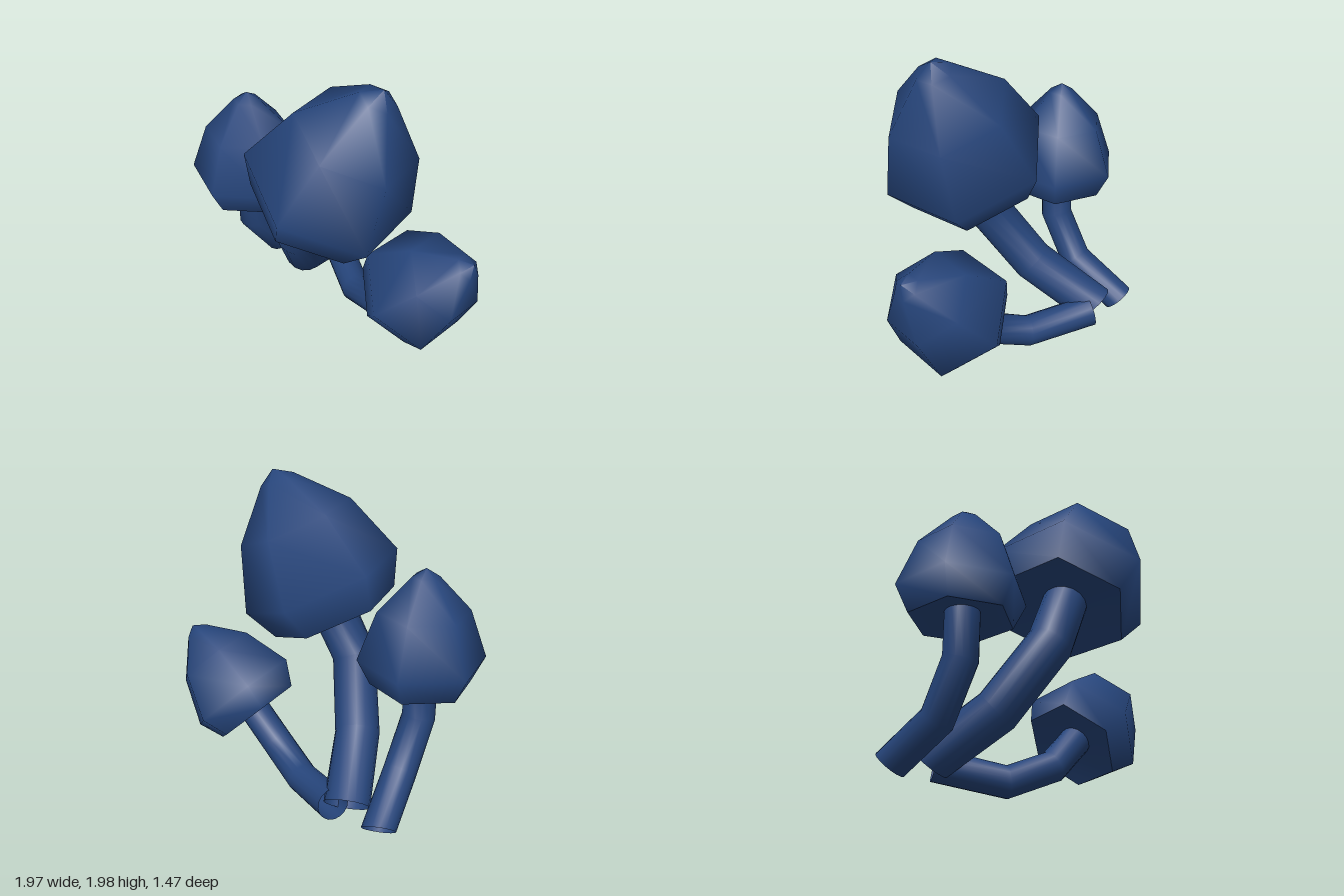
import * as THREE from 'three';

const blue = new THREE.MeshStandardMaterial({ color: 0x26457b, side: THREE.DoubleSide });
blue.name = 'deep blue';

const V = (p) => new THREE.Vector3(...p);

// Six-sided cap: smooth dome with a tucked rim, plus a shallow recessed underside
function makeCap(name, center, axis, corner, scale) {
  const lathe = (pts) => new THREE.LatheGeometry(pts.map(([r, h]) => new THREE.Vector2(r, h)), 6);
  const dome = lathe([[0.305, -0.16], [0.385, 0], [0.275, 0.3], [0.08, 0.51], [0, 0.56]]);
  const under = lathe([[0, -0.11], [0.12, -0.11], [0.305, -0.16]]);
  const y = V(axis).normalize();
  const x = new THREE.Vector3().crossVectors(y, V(corner)).normalize();
  const z = new THREE.Vector3().crossVectors(x, y);
  const cap = new THREE.Group();
  cap.name = name;
  [[dome, 'dome'], [under, 'underside']].forEach(([geo, label]) => {
    const mesh = new THREE.Mesh(geo, blue);
    mesh.name = `${name} ${label}`;
    cap.add(mesh);
  });
  cap.quaternion.setFromRotationMatrix(new THREE.Matrix4().makeBasis(x, y, z));
  cap.position.set(...center);
  cap.scale.setScalar(scale);
  return cap;
}

// Open-ended bent stalk: one ring per path point, the last ring cut along endDir
function makeStalk(name, radius, path, endDir) {
  const sides = 16;
  const pts = path.map(V);
  const pos = [], index = [];
  pts.forEach((p, i) => {
    const t = new THREE.Vector3();
    if (i > 0) t.add(p.clone().sub(pts[i - 1]).normalize());
    if (i < pts.length - 1) t.add(pts[i + 1].clone().sub(p).normalize());
    if (i === pts.length - 1 && endDir) t.copy(V(endDir));
    t.normalize();
    // Rings share a steady sideways reference so they do not twist
    const u = new THREE.Vector3(1, 0, -0.8).addScaledVector(t, -t.dot(new THREE.Vector3(1, 0, -0.8))).normalize();
    const w = new THREE.Vector3().crossVectors(t, u);
    for (let j = 0; j < sides; j++) {
      const a = (j / sides) * Math.PI * 2;
      const q = p.clone().addScaledVector(u, radius * Math.cos(a)).addScaledVector(w, radius * Math.sin(a));
      pos.push(q.x, q.y, q.z);
      if (i === 0) continue;
      const k = (j + 1) % sides, A = (i - 1) * sides, B = i * sides;
      index.push(A + j, A + k, B + j, A + k, B + k, B + j);
    }
  });
  const geo = new THREE.BufferGeometry();
  geo.setAttribute('position', new THREE.Float32BufferAttribute(pos, 3));
  geo.setIndex(index);
  geo.computeVertexNormals();
  const mesh = new THREE.Mesh(geo, blue);
  mesh.name = name;
  return mesh;
}

export function createModel() {
  const model = new THREE.Group();
  model.name = 'mushroom cluster';

  // Tall middle mushroom
  model.add(
    makeCap('middle cap', [0.07, 1.295, 0.24], [0.41, 0.91, 0.047], [-0.46, 0.2, 0.16], 1.35),
    makeStalk('middle stalk', 0.14,
      [[0.01, 1.16, 0.23], [-0.155, 0.825, 0.2], [-0.235, 0.43, -0.1], [-0.25, 0.18, -0.53]], [0, -0.7, -0.72])
  );

  // Upright mushroom on the -x side
  model.add(
    makeCap('right cap', [-0.615, 1.0, -0.135], [0, 1, 0], [-0.375, 0, 0.105], 1),
    makeStalk('right stalk', 0.103,
      [[-0.615, 0.9, -0.13], [-0.615, 0.61, -0.13], [-0.535, 0.315, -0.31], [-0.46, 0.12, -0.65]], [0, -0.7, -0.7])
  );

  // Low leaning mushroom on the +x side
  model.add(
    makeCap('left cap', [0.58, 0.515, 0.1], [0.655, 0.725, 0.21], [0.15, -0.035, -0.35], 1),
    makeStalk('left stalk', 0.1,
      [[0.51, 0.44, 0.08], [0.32, 0.23, 0], [0.1, 0.105, -0.2], [-0.17, 0.18, -0.54]])
  );
  return model;
}
